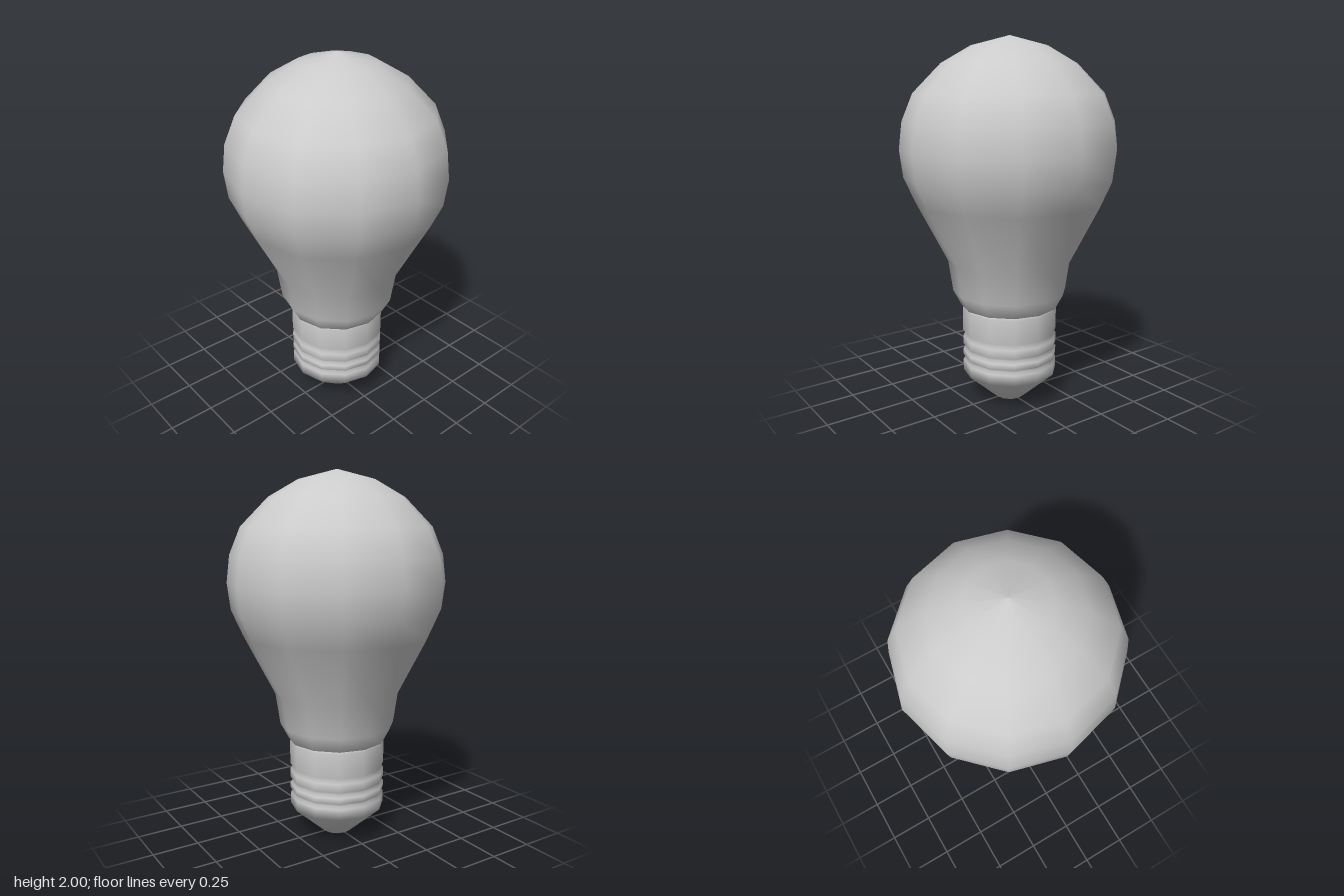
import * as THREE from 'three';

const SIDES = 12;

// Revolve a [radius, height] profile, listed from bottom to top
function turned(name, profile) {
  const points = profile.map(([r, y]) => new THREE.Vector2(r, y));
  const material = new THREE.MeshStandardMaterial({ color: 0xcccccc, side: THREE.DoubleSide });
  const mesh = new THREE.Mesh(new THREE.LatheGeometry(points, SIDES), material);
  mesh.name = name;
  return mesh;
}

export function createModel() {
  const group = new THREE.Group();
  group.name = 'lightBulb';

  // Glass envelope: narrow neck flaring into a round bulb
  group.add(turned('glassBulb', [
    [0.25, 0.54], [0.27, 0.545], [0.315, 0.63], [0.34, 0.8], [0.51, 1.13], [0.57, 1.265],
    [0.588, 1.412], [0.57, 1.56], [0.51, 1.705], [0.36, 1.858], [0.203, 1.948], [0, 2],
  ]));

  // Screw base: tapered contact, threaded ridges and a plain collar
  const base = [[0, 0], [0.083, 0], [0.263, 0.16]];
  const ridges = [[0.16, 0.22], [0.25, 0.283], [0.315, 0.363], [0.395, 0.53]];
  ridges.forEach(([low, high], i) => {
    if (i > 0) base.push([0.245, (ridges[i - 1][1] + low) / 2], [0.263, low]);
    base.push([0.263, high]);
  });
  base.push([0.25, 0.545]);
  group.add(turned('screwBase', base));

  return group;
}
